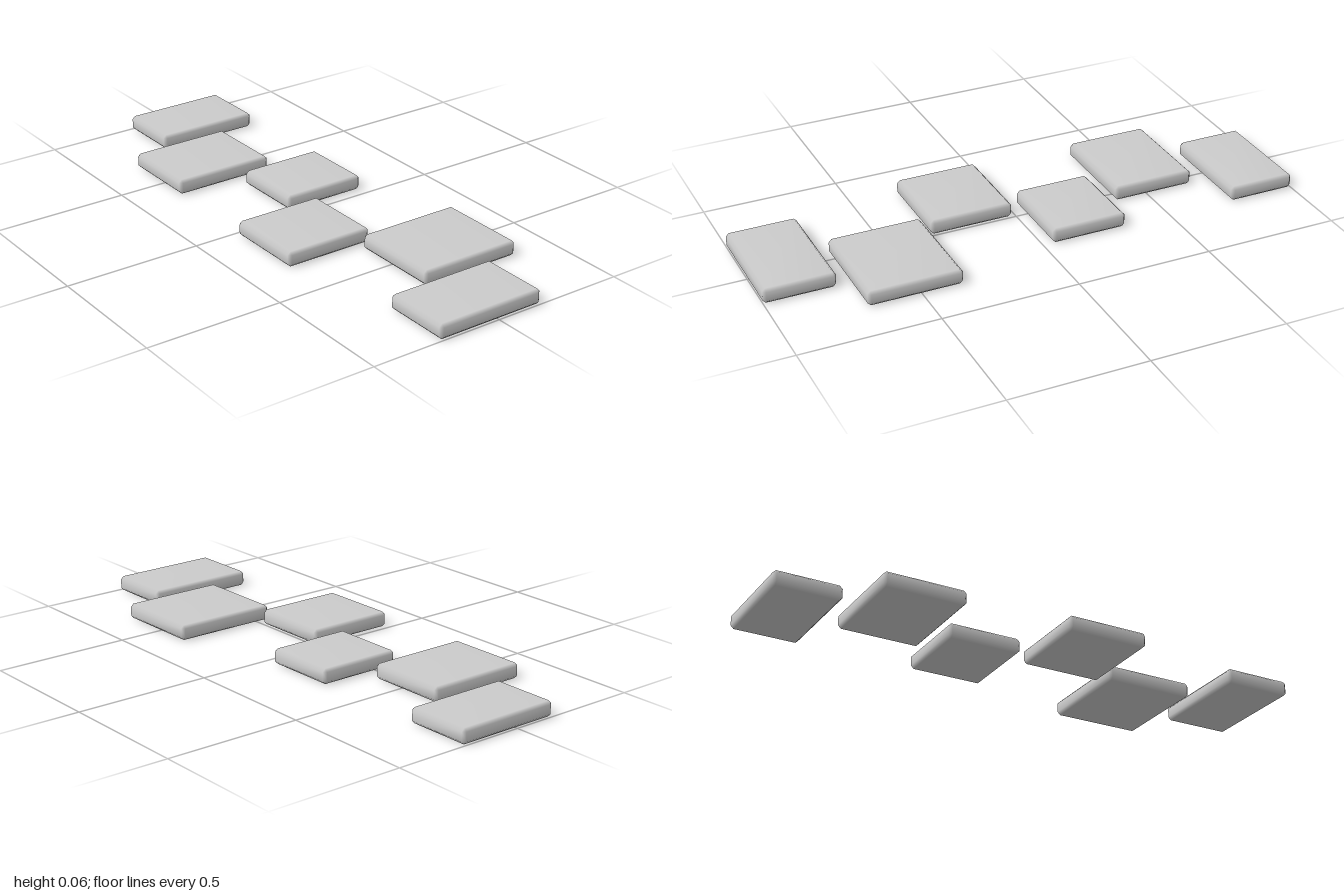
import * as THREE from 'three';
import { ConvexGeometry } from 'three/addons/geometries/ConvexGeometry.js';
import { mergeVertices } from 'three/addons/utils/BufferGeometryUtils.js';

const HEIGHT = 0.056;
const BEVEL = 0.011;

// Box with every edge and corner cut by one chamfer, softly shaded
function chamferedSlab(width, height, depth, bevel) {
  const half = [width / 2, height / 2, depth / 2];
  const points = [];
  for (const sx of [-1, 1]) for (const sy of [-1, 1]) for (const sz of [-1, 1]) {
    const sign = [sx, sy, sz];
    for (let axis = 0; axis < 3; axis++) {
      // the corner of the face that looks along this axis
      const p = half.map((h, i) => sign[i] * (i === axis ? h : h - bevel));
      points.push(new THREE.Vector3(...p));
    }
  }
  const geometry = new ConvexGeometry(points);
  geometry.deleteAttribute('normal');
  const merged = mergeVertices(geometry, 1e-5);
  merged.computeVertexNormals();
  return merged;
}

export function createModel() {
  const group = new THREE.Group();
  group.name = 'steppingStonePath';
  const material = new THREE.MeshStandardMaterial({ color: 0xcccccc });

  // Staggered stones from back to front: x min, x max, z min, z max
  const stones = [
    [-0.16, 0.234, -1.0, -0.75],
    [-0.327, 0.055, -0.68, -0.373],
    [-0.085, 0.23, -0.318, -0.037],
    [-0.338, -0.002, 0.015, 0.324],
    [-0.051, 0.338, 0.35, 0.692],
    [-0.238, 0.177, 0.742, 1.0],
  ];
  stones.forEach(([x0, x1, z0, z1], i) => {
    const mesh = new THREE.Mesh(chamferedSlab(x1 - x0, HEIGHT, z1 - z0, BEVEL), material);
    mesh.name = `steppingStone${i + 1}`;
    mesh.position.set((x0 + x1) / 2, HEIGHT / 2, (z0 + z1) / 2);
    group.add(mesh);
  });
  return group;
}
